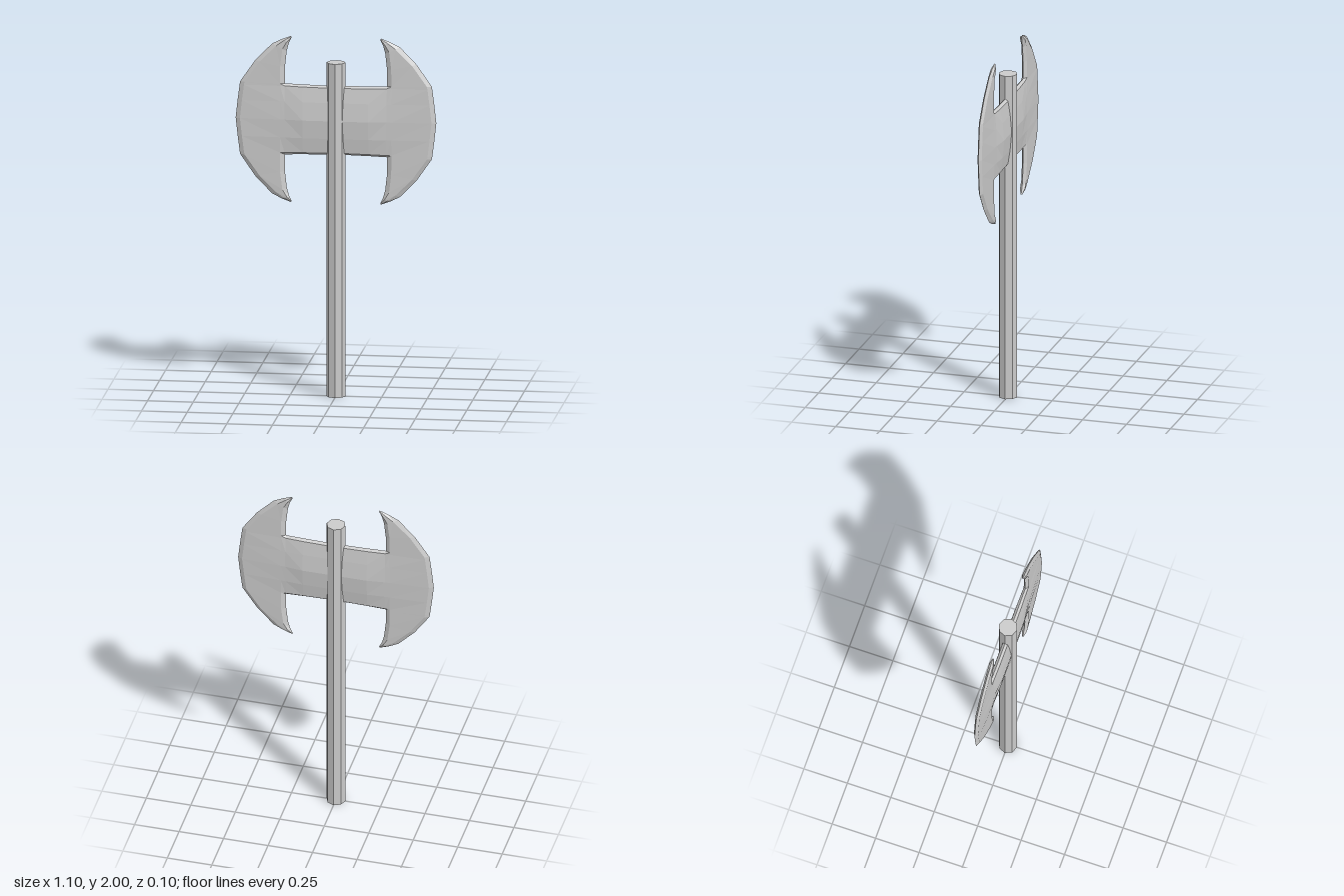
import * as THREE from 'three';
import { mergeGeometries } from 'three/addons/utils/BufferGeometryUtils.js';

const material = new THREE.MeshStandardMaterial({ color: 0xcccccc, flatShading: true });
const HEAD_Y = 1.537;

// Faceted sheet through a grid of [x, y, z] rows, mirrored by the signs sx and sz
function sheet(rows, sx, sz) {
  const cols = rows[0].length;
  const points = rows.flat().flatMap(([x, y, z]) => [x * sx, y, z * sz]);
  const index = [];
  for (let r = 0; r < rows.length - 1; r++) {
    for (let c = 0; c < cols - 1; c++) {
      const a = r * cols + c, b = a + 1, d = a + cols, e = d + 1;
      if (sx * sz > 0) index.push(a, b, e, a, e, d);
      else index.push(a, e, b, a, d, e);
    }
  }
  const geometry = new THREE.BufferGeometry();
  geometry.setAttribute('position', new THREE.Float32BufferAttribute(points, 3));
  geometry.setIndex(index);
  const flat = geometry.toNonIndexed();
  flat.computeVertexNormals();
  return flat;
}

// Repeats the upper rows below the centre line
const mirrorRows = (rows) => [
  ...rows.slice(1).reverse().map((row) => row.map(([x, y, z]) => [x, -y, z])),
  ...rows,
];

// Front and back sheets joined into one solid
function addSolid(group, name, rows, sx) {
  const geometry = mergeGeometries([sheet(rows, sx, 1), sheet(rows, sx, -1)]);
  const mesh = new THREE.Mesh(geometry, material);
  mesh.name = name;
  mesh.position.y = HEAD_Y;
  group.add(mesh);
}

// Blade rows, centre to horn tip: inner x, y, z, outer x, y
const bladeRows = [
  [0.28, 0, 0.022, 0.55, 0],
  [0.28, 0.1, 0.019, 0.539, 0.1],
  [0.28, 0.186, 0.012, 0.528, 0.186],
  [0.28, 0.198, 0, 0.525, 0.203],
  [0.28, 0.29, 0, 0.443, 0.322],
  [0.27, 0.38, 0, 0.35, 0.418],
  [0.258, 0.425, 0, 0.293, 0.446],
  [0.243, 0.455, 0, 0.246, 0.463],
].map(([xi, yi, zi, xo, yo], i) => {
  const width = Math.hypot(xo - xi, yo - yi);
  const inset = Math.min(0.025 / width, 0.3); // width of the sharpened bevel
  const ridge = i === 7 ? 0.004 : 0.014;
  const at = (t, z) => [xi + (xo - xi) * t, yi + (yo - yi) * t, z];
  return [at(0, zi), at(inset, Math.max(zi * 0.95, ridge)), at(1 - inset, ridge * 0.85), at(1, 0)];
});

// Neck rows, centre to top edge: y and z at the handle, at mid-length and at the blade
const neckRows = [
  [0, 0.033, 0, 0.022],
  [0.1, 0.025, 0.1, 0.019],
  [0.18, 0.014, 0.186, 0.012],
  [0.191, 0, 0.198, 0],
].map(([y, z, yEnd, zEnd]) => [
  [0, y, z], [0.18, (y + yEnd) / 2, z], [0.28, yEnd, zEnd],
]);

export function createModel() {
  const group = new THREE.Group();
  group.name = 'doubleAxe';

  // Octagonal handle
  const handle = new THREE.Mesh(new THREE.CylinderGeometry(0.052, 0.052, 1.86, 8), material);
  handle.name = 'handle';
  handle.position.y = 0.93;
  group.add(handle);

  // Twin crescent blades and the necks joining them to the handle
  for (const [side, sx] of [['left', 1], ['right', -1]]) {
    addSolid(group, `${side}Neck`, mirrorRows(neckRows), sx);
    addSolid(group, `${side}Blade`, mirrorRows(bladeRows), sx);
  }
  return group;
}
